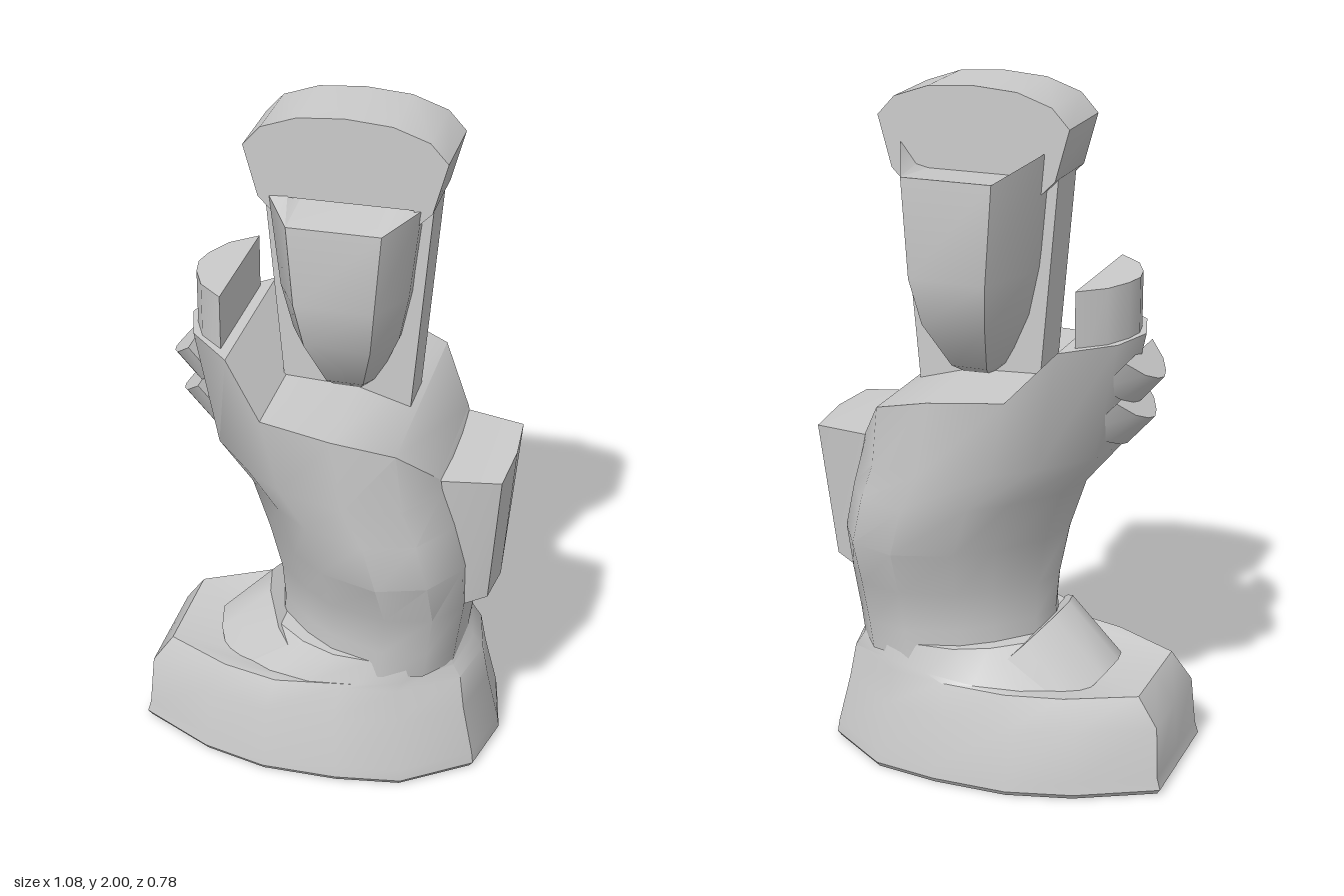
import * as THREE from 'three';
import { toCreasedNormals } from 'three/addons/utils/BufferGeometryUtils.js';

const material = new THREE.MeshStandardMaterial({ color: 0xcccccc });

function mesh(name, geometry, crease = 0.7) {
  const m = new THREE.Mesh(toCreasedNormals(geometry, crease), material);
  m.name = name;
  return m;
}

// Skin a stack of rings (counter-clockwise from above), closing both ends with strips
function loft(rings) {
  const n = rings[0].length, index = [];
  for (let k = 0; k < rings.length - 1; k++) {
    for (let i = 0; i < n; i++) {
      const a = k * n + i, b = k * n + (i + 1) % n;
      index.push(a, b, b + n, a, b + n, a + n);
    }
  }
  const top = (rings.length - 1) * n;
  for (let i = 0, j = n; j - i > 1;) {
    const a = i, d = j % n;
    if (j - i > 2) {
      index.push(top + a, top + a + 1, top + j - 1, a + 1, a, j - 1);
      if (d !== a) index.push(top + a, top + j - 1, top + d, j - 1, a, d);
    } else {
      index.push(top + a, top + a + 1, top + d, a + 1, a, d);
    }
    i++; j--;
  }
  const g = new THREE.BufferGeometry();
  g.setAttribute('position', new THREE.Float32BufferAttribute(rings.flat(2), 3));
  g.setIndex(index);
  return g;
}

// Complete a half outline running from the -x tip to the +x tip
const mirrorZ = (half) => [
  ...half,
  ...half.slice(1, -1).reverse().map(([x, y, z]) => [x, y, -z]),
];

// Horizontal outlines as [fraction of length, fraction of half width]
const footPlan = [[0, 0], [0, 0.53], [0.21, 0.86], [0.39, 1], [0.6, 1], [0.78, 0.92], [0.96, 0.54], [1, 0]];
const shaftPlan = [[0, 0], [0.05, 0.33], [0.22, 0.67], [0.37, 0.87], [0.64, 1], [0.86, 0.87], [0.98, 0.54], [1, 0]];

// Tilted ring between the toe side (xL, yL) and the heel side (xR, yR)
function ring(plan, [xL, yL, xR, yR, half]) {
  return mirrorZ(plan.map(([u, w]) => [xL + (xR - xL) * u, yL + (yR - yL) * u, half * w]));
}

// Crescent-shaped band whose front edge runs from A (upper) to B (lower)
function band(name, A, B, depth, half) {
  const len = Math.hypot(B[0] - A[0], B[1] - A[1]);
  const dx = -(B[1] - A[1]) / len, dy = (B[0] - A[0]) / len;
  const plan = [[0, 0], [0.1, 0.3], [0.4, 0.68], [1, 1], [1, 0]];
  const rings = [B, A].map(([x, y]) => mirrorZ(plan.map(([u, w]) =>
    [x + dx * depth * u, y + dy * depth * u, half * w])));
  return mesh(name, loft(rings));
}

export function createModel() {
  const group = new THREE.Group();
  group.name = 'bootBust';

  // Foot, from sole to ankle
  const foot = [
    [-0.53, 0, 0.51, 0, 0.35],
    [-0.54, 0.015, 0.52, 0.015, 0.36],
    [-0.53, 0.05, 0.515, 0.05, 0.355],
    [-0.52, 0.2, 0.48, 0.2, 0.325],
    [-0.46, 0.285, 0.462, 0.3, 0.3],
    [-0.28, 0.27, 0.43, 0.34, 0.29],
    [-0.15, 0.4, 0.41, 0.38, 0.27],
  ].map((r) => ring(footPlan, r));
  group.add(mesh('foot', loft(foot)));

  // Shaft, flaring up to a rim that rises over the toe side
  const shaft = [
    [-0.16, 0.34, 0.41, 0.34, 0.275],
    [-0.15, 0.45, 0.42, 0.42, 0.28],
    [-0.16, 0.56, 0.44, 0.55, 0.295],
    [-0.19, 0.71, 0.44, 0.7, 0.37],
    [-0.24, 0.86, 0.41, 0.84, 0.378],
    [-0.34, 0.98, 0.38, 0.95, 0.384],
  ].map((r) => ring(shaftPlan, r));
  shaft.push(mirrorZ([
    [-0.41, 1.32, 0], [-0.37, 1.32, 0.13], [-0.24, 1.32, 0.26], [-0.12, 1.19, 0.345],
    [0.09, 1.18, 0.39], [0.26, 1.13, 0.34], [0.355, 1.0, 0.21], [0.37, 0.985, 0],
  ]));
  group.add(mesh('shaft', loft(shaft)));

  // Tongue, lace folds and instep fold
  group.add(band('tongue', [-0.39, 1.48], [-0.39, 1.22], 0.12, 0.2));
  group.add(band('upperLace', [-0.465, 1.2], [-0.395, 1.12], 0.1, 0.12));
  group.add(band('lowerLace', [-0.44, 1.08], [-0.36, 0.99], 0.1, 0.12));
  group.add(band('instepFold', [-0.19, 0.47], [-0.345, 0.31], 0.25, 0.28));

  // Pull tab at the heel
  const tab = [
    [[0.36, 0.55, 0], [0.41, 0.55, 0.16], [0.49, 0.575, 0.13], [0.505, 0.575, 0]],
    [[0.3, 0.99, 0], [0.36, 0.99, 0.205], [0.525, 0.985, 0.17], [0.537, 0.99, 0]],
  ];
  group.add(mesh('heelTab', loft(tab.map(mirrorZ))));

  // Head, an eight-sided egg: [y, half width, front z, back z, rise of the back]
  const cx = 0.06;
  const head = [
    [1.17, 0.05, 0.06, -0.08, 0],
    [1.21, 0.085, 0.11, -0.15, 0],
    [1.36, 0.15, 0.2, -0.265, 0],
    [1.5, 0.18, 0.24, -0.31, 0],
    [1.75, 0.21, 0.24, -0.31, 1],
  ].map(([y, h, f, b, t]) => [
    [-1, f * 0.48, 0.01], [-0.62, f, -0.02], [0.62, f, -0.02], [1, f * 0.48, 0.01],
    [1, b * 0.4, 0.08], [0.62, b, 0.03], [-0.62, b, 0.03], [-1, b * 0.4, 0.08],
  ].map(([u, z, dy]) => [cx + h * u, y + dy * t, z]));
  group.add(mesh('head', loft(head)));

  // Tapered strap running down both sides of the head
  const strap = [[1.13, 0.18], [1.76, 0.235]].map(([y, h]) => [
    [cx - h, y, -0.075], [cx - h, y, 0.07], [cx + h, y, 0.07], [cx + h, y, -0.075],
  ]);
  group.add(mesh('sideStraps', loft(strap)));

  // Hat with a domed top and a pointed flap over each strap
  const half = [[0, 2], [0.13, 1.99], [0.23, 1.955], [0.28, 1.9], [0.24, 1.755], [0.18, 1.695], [0.19, 1.76]];
  const outline = [...half.slice(1).reverse().map(([x, y]) => [-x, y]), ...half];
  const hatShape = new THREE.Shape(outline.map(([x, y]) => new THREE.Vector2(cx + x, y)));
  const hat = new THREE.ExtrudeGeometry(hatShape, { depth: 0.236, bevelEnabled: false });
  hat.translate(0, 0, -0.118);
  group.add(mesh('hat', hat));

  return group;
}
